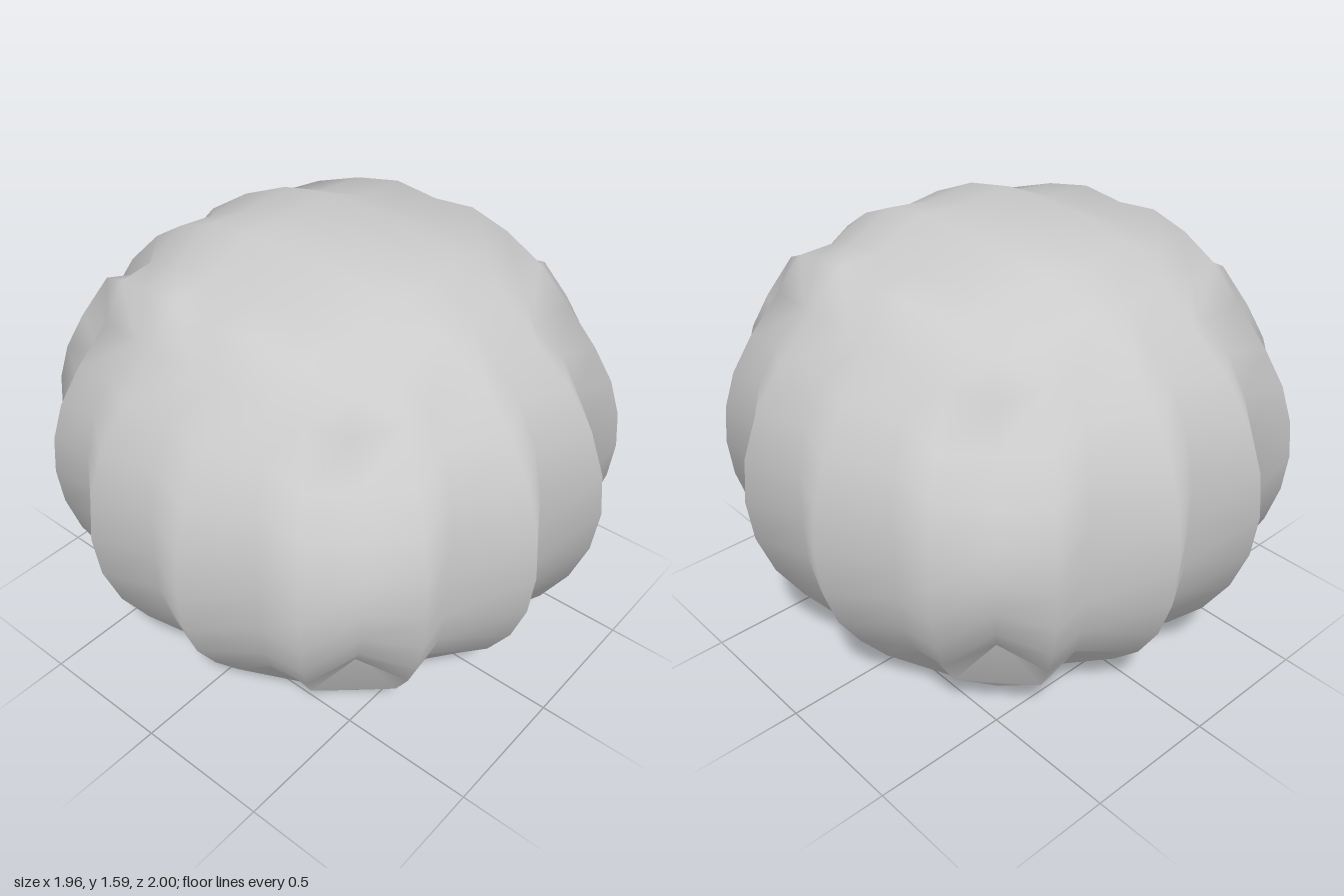
import * as THREE from 'three';
import { mergeVertices } from 'three/addons/utils/BufferGeometryUtils.js';

// Ribbed, slightly flattened ball: an 8 x 8 x 8 box rounded to an ellipsoid,
// with every second grid line pressed inward to make the grooves.
const N = 4; // half the grid divisions
const RADII = new THREE.Vector3(1.02, 0.84, 1.02);

function ribbedPoint(p) {
  const grid = p.clone().multiplyScalar(N).round();
  const [i, j, k] = [Math.abs(grid.x), Math.abs(grid.y), Math.abs(grid.z)];
  const onX = i === N, onY = j === N, onZ = k === N;
  const even = n => n % 2 === 0;
  const round = t => Math.tan(t * Math.PI / 4);
  const out = new THREE.Vector3(round(p.x), round(p.y), round(p.z)).normalize().multiply(RADII);

  // inward push along each axis
  let dx = 0, dy = 0, dz = 0;
  if (onX && onZ) {
    // upright corners, deepest at the very top and bottom
    const t = Math.pow(j / N, 2);
    dx = 0.05 + 0.06 * t;
    dz = 0.03 + 0.08 * t;
    dy = onY ? 0.03 : 0;
  } else {
    const fade = 1 - 0.5 * j / N;
    if (onZ && even(i)) dz = 0.15 * fade;
    if (onX) dx = even(k) ? 0.13 * fade : 0.02;
    if (onY) {
      if (onX) dy = even(k) ? 0.02 : -0.03;
      else if (i === 3) dy = k === 0 ? 0 : -0.03;
      else dy = even(i) ? 0.035 : 0;
      // shallow dent around the poles
      if (i < 3) dy += [0.03, 0.012, 0, 0, 0][k];
    }
  }
  out.x -= Math.sign(p.x) * dx;
  out.y -= Math.sign(p.y) * dy;
  out.z -= Math.sign(p.z) * dz;
  return out;
}

export function createModel() {
  const box = new THREE.BoxGeometry(2, 2, 2, 2 * N, 2 * N, 2 * N);
  box.deleteAttribute('uv');
  box.deleteAttribute('normal');
  const geometry = mergeVertices(box);
  const pos = geometry.attributes.position;
  const p = new THREE.Vector3();
  for (let n = 0; n < pos.count; n++) {
    p.fromBufferAttribute(pos, n);
    const q = ribbedPoint(p);
    pos.setXYZ(n, q.x, q.y, q.z);
  }
  // stand on the ground
  geometry.computeBoundingBox();
  geometry.translate(0, -geometry.boundingBox.min.y, 0);
  geometry.computeVertexNormals();

  const body = new THREE.Mesh(geometry, new THREE.MeshStandardMaterial({ color: 0xcccccc }));
  body.name = 'ribbedBody';
  const group = new THREE.Group();
  group.name = 'ribbedBall';
  group.add(body);
  return group;
}
